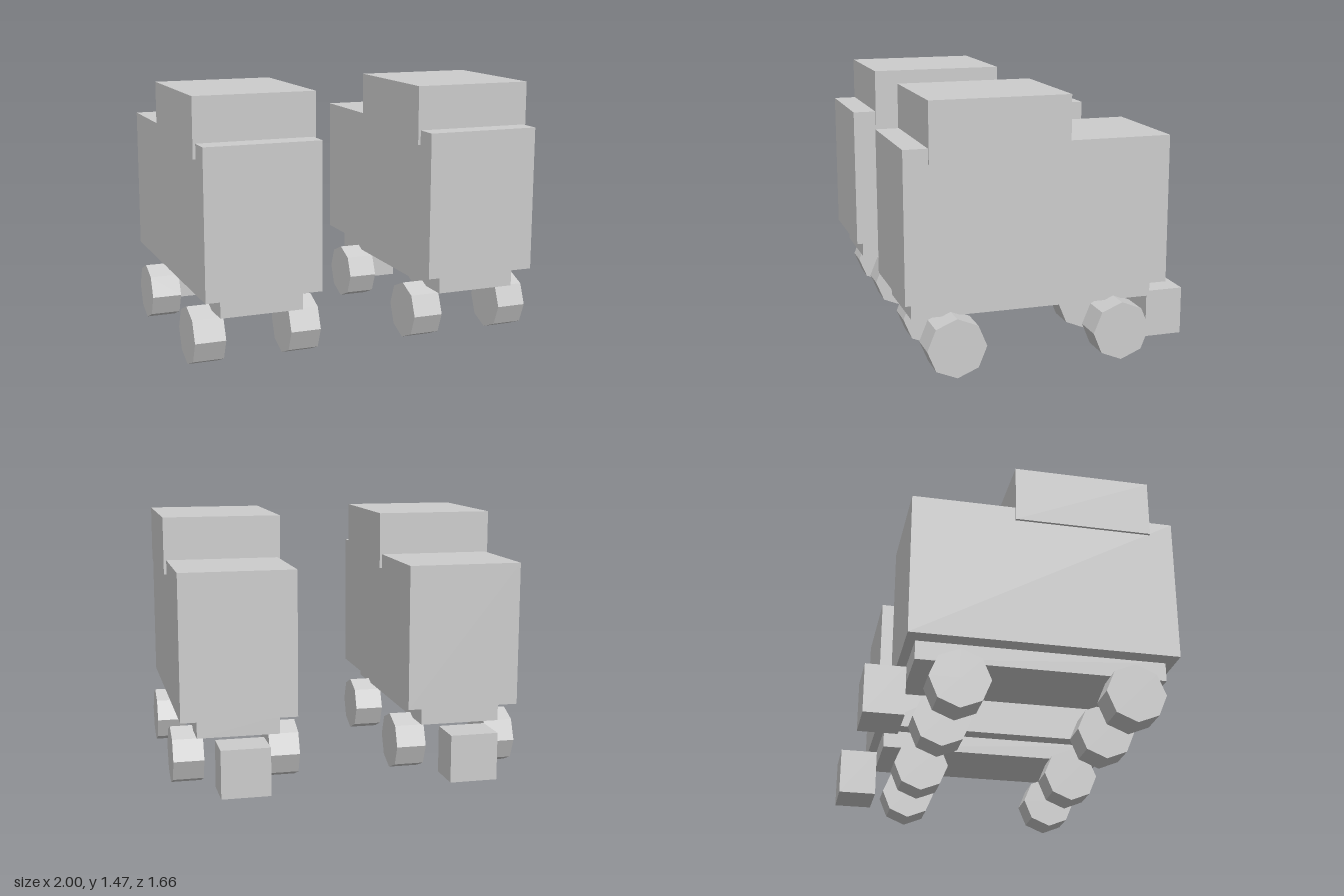
import * as THREE from 'three';

const grey = new THREE.MeshStandardMaterial({ color: 0xcccccc });
grey.name = 'plain grey';
grey.flatShading = true;

// Box given by its width and its y and z ranges, centred on x = 0
function block(name, width, y0, y1, z0, z1) {
  const mesh = new THREE.Mesh(new THREE.BoxGeometry(width, y1 - y0, z1 - z0), grey);
  mesh.position.set(0, (y0 + y1) / 2, (z0 + z1) / 2);
  mesh.name = name;
  return mesh;
}

// One wheeled cart
function createCart(name) {
  const cart = new THREE.Group();
  cart.name = name;
  cart.add(
    block('body', 0.65, 0.41, 1.228, -0.637, 0.83),
    block('roofBox', 0.68, 1.147, 1.473, -0.067, 0.698),
    block('chassis', 0.462, 0.305, 0.41, -0.585, 0.778),
    block('rearBlock', 0.272, 0.03, 0.3, -0.83, -0.613)
  );

  // Eight-sided wheels with their axles along x
  const wheelGeometry = new THREE.CylinderGeometry(0.163, 0.163, 0.172, 8).rotateZ(Math.PI / 2);
  for (const [end, z] of [['front', 0.562], ['rear', -0.367]]) {
    for (const [side, x] of [['Left', 0.271], ['Right', -0.271]]) {
      const wheel = new THREE.Mesh(wheelGeometry, grey);
      wheel.name = `${end}${side}Wheel`;
      wheel.position.set(x, 0.163, z);
      cart.add(wheel);
    }
  }
  return cart;
}

export function createModel() {
  const model = new THREE.Group();
  model.name = 'pairOfCarts';
  for (const [name, x] of [['leftCart', 0.643], ['rightCart', -0.643]]) {
    const cart = createCart(name);
    cart.position.x = x;
    model.add(cart);
  }
  return model;
}
